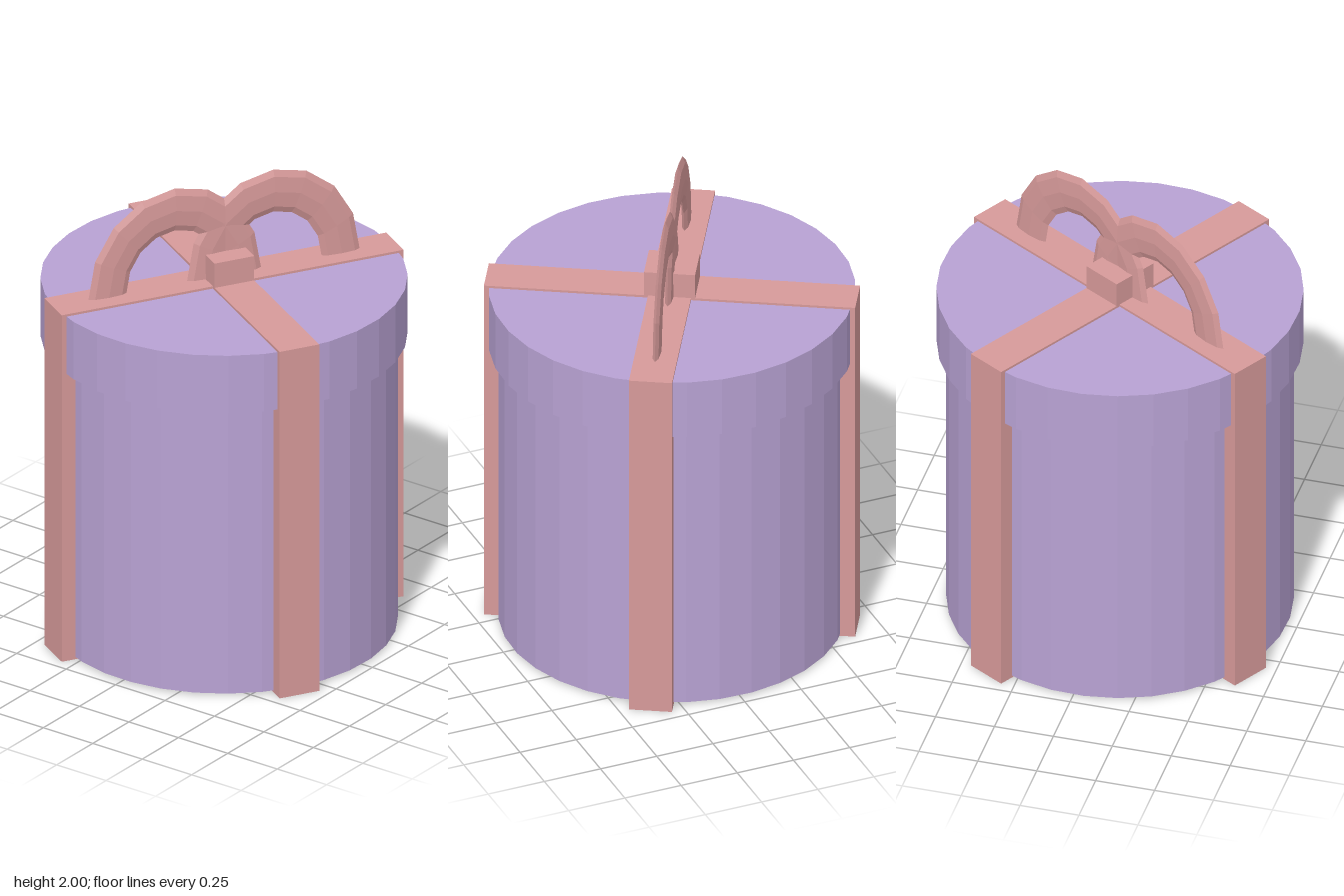
import * as THREE from 'three';

export function createModel() {
  const purple = new THREE.MeshStandardMaterial({ color: 0xb8a2d3, flatShading: true });
  purple.name = 'box purple';
  const pink = new THREE.MeshStandardMaterial({ color: 0xd79a9a, flatShading: true });
  pink.name = 'ribbon pink';

  const model = new THREE.Group();
  model.name = 'giftBox';
  const gift = new THREE.Group();
  gift.name = 'gift';
  gift.rotation.y = -Math.PI / 6;
  model.add(gift);

  const add = (name, geometry, material, x, y, z) => {
    const mesh = new THREE.Mesh(geometry, material);
    mesh.name = name;
    mesh.position.set(x, y, z);
    gift.add(mesh);
    return mesh;
  };
  // upright 32-sided drum between two heights
  const drum = (name, radius, y0, y1) =>
    add(name, new THREE.CylinderGeometry(radius, radius, y1 - y0, 32), purple, 0, (y0 + y1) / 2, 0);

  // round box and its overhanging lid
  drum('body', 0.71, 0.01, 1.4);
  drum('lid', 0.75, 1.3, 1.56);

  // two crossing ribbons wrapped right around the box
  add('ribbonAcross', new THREE.BoxGeometry(1.526, 1.57, 0.177), pink, 0, 0.785, 0);
  add('ribbonAlong', new THREE.BoxGeometry(0.177, 1.57, 1.526), pink, 0, 0.785, 0);

  // knot of the bow
  add('knot', new THREE.BoxGeometry(0.177, 0.15, 0.21), pink, 0, 1.605, 0);

  // two thin half-ring bow loops that overlap at the knot
  for (const side of [-1, 1]) {
    const loop = new THREE.TorusGeometry(0.3, 0.085, 8, 8, Math.PI);
    loop.scale(1, 1.117, 0.2);
    add(side > 0 ? 'leftBowLoop' : 'rightBowLoop', loop, pink, side * 0.22, 1.57, 0);
  }

  return model;
}
